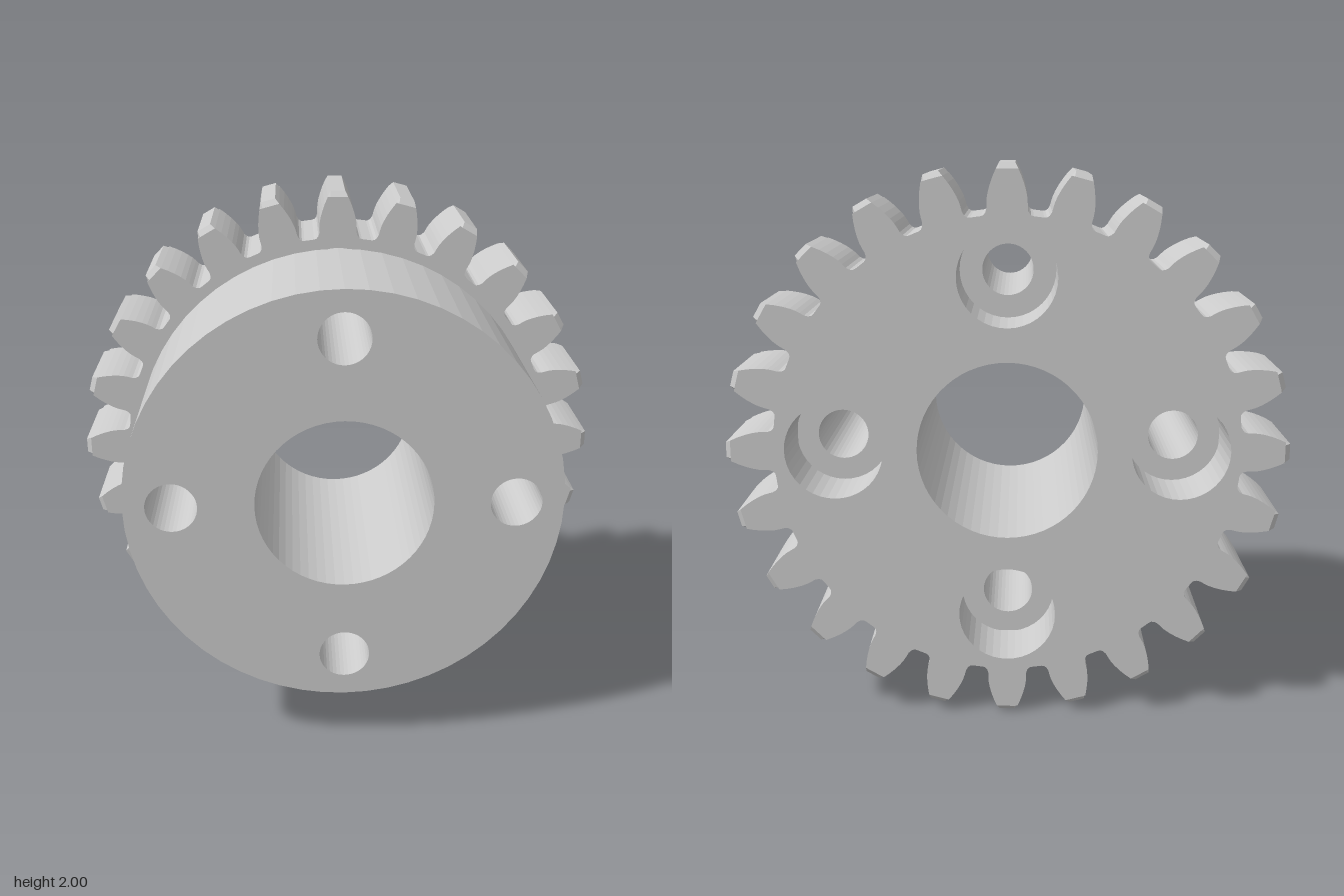
import * as THREE from 'three';

const TEETH = 24;
const PITCH_R = TEETH / (TEETH + 2);          // pitch radius for a tip radius of 1
const BASE_R = PITCH_R * Math.cos(THREE.MathUtils.degToRad(20));
const BACK = -0.475, GEAR_FRONT = -0.11, HUB_FRONT = 0.475;
const FLOOR = -0.225;                         // floor of the counterbores
const CHAMFER = 0.02;

const polar = (r, a) => new THREE.Vector2(r * Math.cos(a), r * Math.sin(a));

function circlePoints(radius, segments, cx = 0, cy = 0) {
  return Array.from({ length: segments }, (_, i) =>
    polar(radius, (i / segments) * Math.PI * 2).add(new THREE.Vector2(cx, cy)));
}

// Centre bore plus four holes around it
function addHoles(shape, holeRadius) {
  shape.holes.push(new THREE.Path(circlePoints(0.32, 60)));
  for (let i = 0; i < 4; i++) {
    const c = polar(0.615, (i * Math.PI) / 2);
    shape.holes.push(new THREE.Path(circlePoints(holeRadius, 40, c.x, c.y)));
  }
  return shape;
}

// Half angle of an involute tooth at radius r
function halfAngle(r) {
  const inv = (radius) => {
    const a = Math.acos(Math.min(1, BASE_R / radius));
    return Math.tan(a) - a;
  };
  return Math.PI / (2 * TEETH) + inv(PITCH_R) - inv(r);
}

function gearShape() {
  // One flank as [radius, half angle]: root fillet, then involute to the tip
  const flank = [[0.827, 0.109], [0.829, 0.098], [0.837, 0.088], [0.85, 0.082]];
  for (const r of [BASE_R, 0.885, 0.905, 0.93, 0.955, 1 - CHAMFER, 1]) {
    flank.push([r, halfAngle(r)]);
  }
  const points = [];
  for (let t = 0; t < TEETH; t++) {
    const mid = (t / TEETH) * Math.PI * 2;
    for (const [r, a] of flank) points.push(polar(r, mid - a));
    for (const [r, a] of [...flank].reverse()) points.push(polar(r, mid + a));
  }
  return addHoles(new THREE.Shape(points), 0.175);
}

function gearGeometry() {
  const depth = GEAR_FRONT - BACK;
  const geometry = new THREE.ExtrudeGeometry(gearShape(), { depth, steps: 3, bevelEnabled: false });
  // Move the inner layers next to the faces and pull the tips in on the faces
  const layers = [0, CHAMFER, depth - CHAMFER, depth];
  const pos = geometry.attributes.position;
  for (let i = 0; i < pos.count; i++) {
    const layer = Math.round((pos.getZ(i) / depth) * 3);
    const r = Math.hypot(pos.getX(i), pos.getY(i));
    const s = layer % 3 === 0 ? Math.min(1, (1 - CHAMFER) / r) : 1;
    pos.setXYZ(i, pos.getX(i) * s, pos.getY(i) * s, layers[layer]);
  }
  geometry.computeVertexNormals();
  return geometry.translate(0, 0, BACK);
}

export function createModel() {
  const group = new THREE.Group();
  group.name = 'spurGear';
  const material = new THREE.MeshStandardMaterial({ color: 0xcccccc, flatShading: true });

  // Toothed wheel with wide counterbores open to the back
  const wheel = new THREE.Mesh(gearGeometry(), material);
  wheel.name = 'toothedWheel';

  // Hub reaches into the wheel, so its rear face forms the counterbore floors
  const hubShape = addHoles(new THREE.Shape(circlePoints(0.787, 60)), 0.093);
  const hubGeometry = new THREE.ExtrudeGeometry(hubShape, {
    depth: HUB_FRONT - FLOOR, bevelEnabled: false,
  }).translate(0, 0, FLOOR);
  const hub = new THREE.Mesh(hubGeometry, material);
  hub.name = 'hub';

  for (const part of [wheel, hub]) {
    part.position.y = 1;
    group.add(part);
  }
  return group;
}
